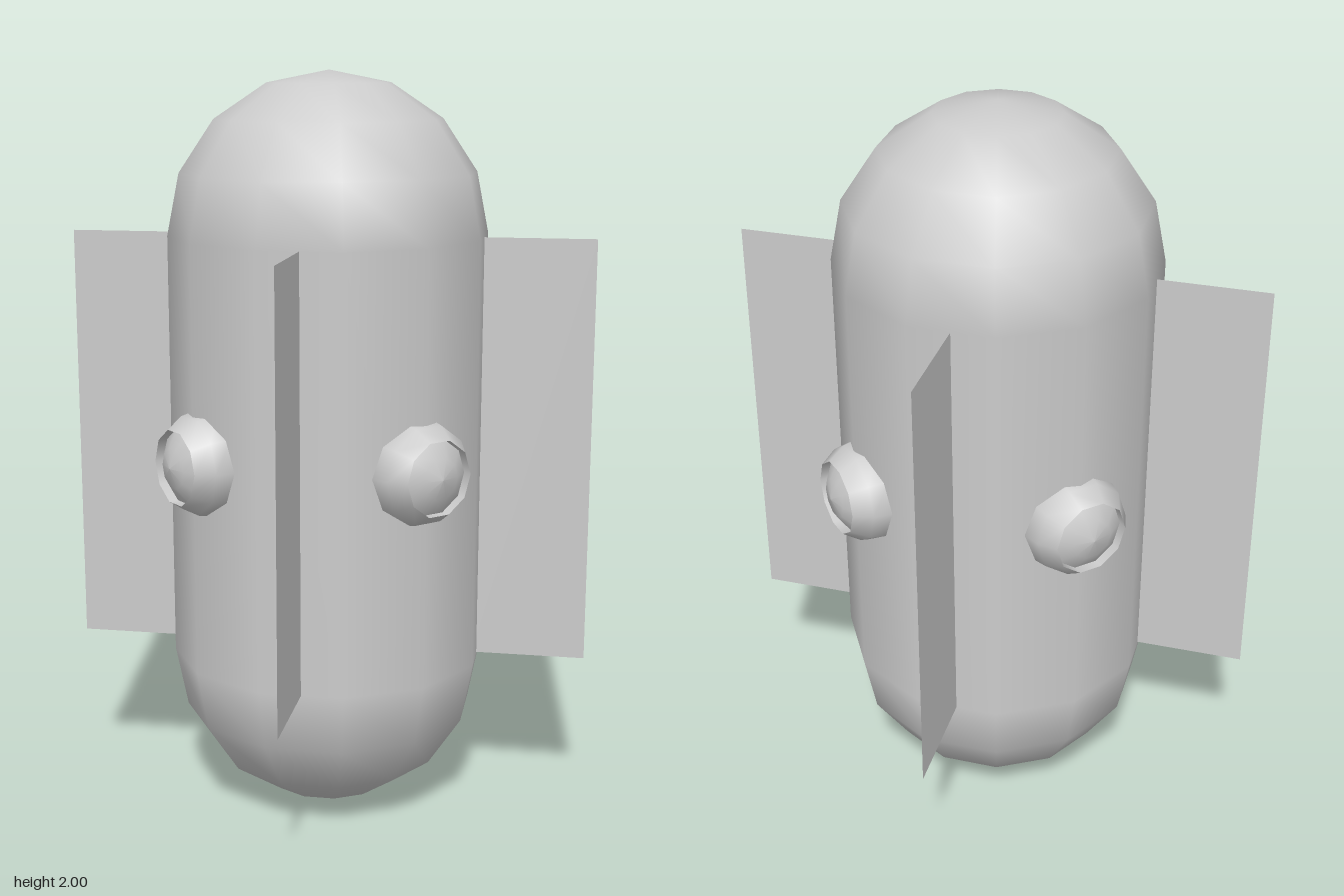
import * as THREE from 'three';

const R = 0.428;          // hull radius
const STRAIGHT = 2 - 2 * R;
const PORT_R = 0.142;     // port bulb radius
const PORT_OUT = 0.384;   // bulb centre distance from the hull axis
const INSET = 0.026;      // how far the lens is sunk

const material = new THREE.MeshStandardMaterial({ color: 0xcccccc });
const thin = new THREE.MeshStandardMaterial({ color: 0xcccccc, side: THREE.DoubleSide });

function add(parent, name, geometry, mat) {
  const mesh = new THREE.Mesh(geometry, mat);
  mesh.name = name;
  parent.add(mesh);
  return mesh;
}

// Ring on the port bulb, measured in degrees from its outward pole
function ring(deg, sink = 0) {
  const a = THREE.MathUtils.degToRad(deg);
  return new THREE.Vector2(PORT_R * Math.sin(a), PORT_OUT + PORT_R * Math.cos(a) - sink);
}

// Ten-sided lathe whose axis points along +z
function turned(points) {
  return new THREE.LatheGeometry(points, 10, Math.PI / 2).rotateX(Math.PI / 2);
}

// Bulb with a sunken domed lens
function createPort() {
  const port = new THREE.Group();
  add(port, 'portShell', turned([112.5, 90, 67.5, 45].map(d => ring(d))), material);
  add(port, 'portRim', turned([ring(45), ring(45, INSET)]), thin);
  add(port, 'portLens', turned([45, 22.5, 0].map(d => ring(d, INSET))), material);
  return port;
}

export function createModel() {
  const model = new THREE.Group();
  model.name = 'finnedCapsule';

  // Hull
  add(model, 'hull', new THREE.CapsuleGeometry(R, STRAIGHT, 4, 12), material).position.y = 1;

  // Four ports on the axes, four flat fins on the diagonals
  const inner = 0.4, outer = Math.SQRT1_2;
  for (let i = 0; i < 4; i++) {
    const port = createPort();
    port.name = 'port' + (i + 1);
    port.position.y = 1;
    port.rotation.y = i * Math.PI / 2;
    model.add(port);

    const plate = new THREE.PlaneGeometry(outer - inner, STRAIGHT);
    plate.translate((inner + outer) / 2, 1, 0);
    add(model, 'fin' + (i + 1), plate, thin).rotation.y = Math.PI / 4 + i * Math.PI / 2;
  }
  return model;
}
